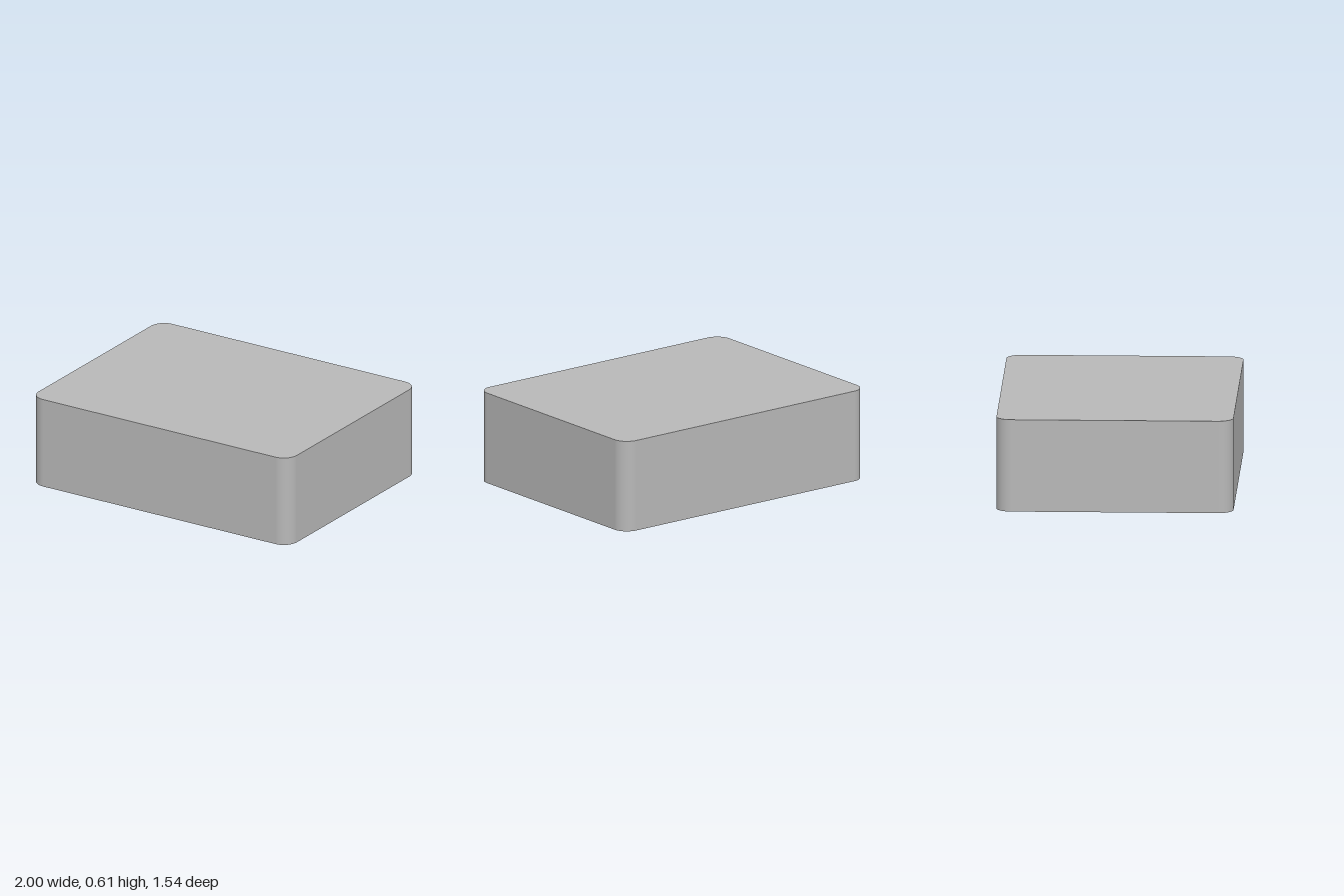
import * as THREE from 'three';

const W = 2, D = 1.54, H = 0.61; // outer size
const T = 0.04;                  // wall thickness
const R = 0.1;                   // outer corner radius
const STEPS = 12;                // segments per corner

// Rounded rectangle outline, inset from the outer one, with its normals
function outline(inset) {
  const pts = [];
  const r = R - inset;
  for (let k = 0; k < 4; k++) {
    const cx = (k === 0 || k === 3 ? 1 : -1) * (W / 2 - R);
    const cz = (k < 2 ? 1 : -1) * (D / 2 - R);
    for (let i = 0; i <= STEPS; i++) {
      const a = (k + i / STEPS) * Math.PI / 2;
      const nx = Math.cos(a), nz = Math.sin(a);
      pts.push({ x: cx + r * nx, z: cz + r * nz, nx, nz });
    }
  }
  return pts;
}

// Smooth vertical wall that follows an outline and faces out or in
function wall(pts, height, inward) {
  const pos = [], nor = [], idx = [];
  const s = inward ? -1 : 1;
  pts.forEach((p, i) => {
    pos.push(p.x, 0, p.z, p.x, height, p.z);
    nor.push(s * p.nx, 0, s * p.nz, s * p.nx, 0, s * p.nz);
    const a = 2 * i, c = a + 1;
    const b = 2 * ((i + 1) % pts.length), d = b + 1;
    if (inward) idx.push(a, d, c, a, b, d);
    else idx.push(a, c, d, a, d, b);
  });
  const g = new THREE.BufferGeometry();
  g.setAttribute('position', new THREE.Float32BufferAttribute(pos, 3));
  g.setAttribute('normal', new THREE.Float32BufferAttribute(nor, 3));
  g.setIndex(idx);
  return g;
}

// Flat horizontal face, optionally with a hole, facing up or down
function flat(pts, y, up, hole) {
  const to2 = (p) => new THREE.Vector2(p.x, p.z);
  const shape = new THREE.Shape(pts.map(to2));
  if (hole) shape.holes.push(new THREE.Path(hole.map(to2)));
  const g = new THREE.ShapeGeometry(shape);
  g.rotateX(up ? -Math.PI / 2 : Math.PI / 2);
  g.translate(0, y, 0);
  return g;
}

export function createModel() {
  const group = new THREE.Group();
  group.name = 'boxLid';
  const grey = new THREE.MeshStandardMaterial({ color: 0xb8b8b8 });
  grey.name = 'grey plastic';
  const add = (name, geometry) => {
    const mesh = new THREE.Mesh(geometry, grey);
    mesh.name = name;
    group.add(mesh);
    return mesh;
  };

  const outer = outline(0), inner = outline(T);
  add('outerWall', wall(outer, H, false));
  add('innerWall', wall(inner, H - T, true));
  add('topFace', flat(outer, H, true));
  add('ceiling', flat(inner, H - T, false));
  add('bottomRim', flat(outer, 0, false, inner));

  // Half-round snap ridges on the inside of the two long walls
  for (const side of [1, -1]) {
    const g = new THREE.CylinderGeometry(0.018, 0.018, 0.76, 20);
    g.rotateZ(Math.PI / 2);
    const ridge = add(side > 0 ? 'frontSnapRidge' : 'backSnapRidge', g);
    ridge.position.set(0, 0.055, side * (D / 2 - T));
  }
  return group;
}
